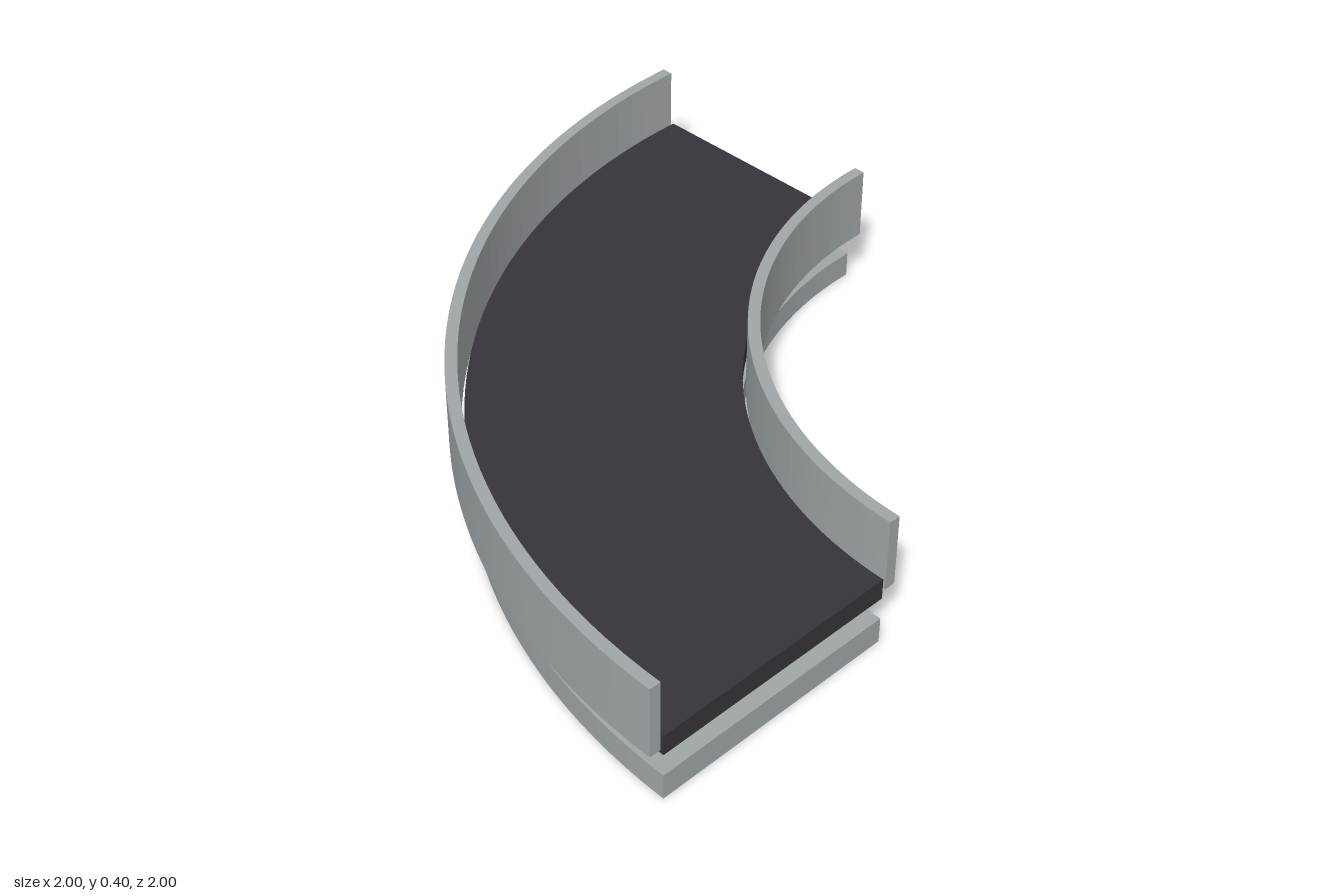
import * as THREE from 'three';

// Quarter-ring slab around the bend's pivot at x = 1, z = -1
function quarterRing(inner, outer, bottom, top) {
  const shape = new THREE.Shape();
  shape.absarc(1, -1, outer, Math.PI / 2, Math.PI, false);
  shape.absarc(1, -1, inner, Math.PI, Math.PI / 2, true);
  shape.closePath();
  const geometry = new THREE.ExtrudeGeometry(shape, {
    depth: top - bottom, bevelEnabled: false, curveSegments: 24,
  });
  geometry.rotateX(Math.PI / 2); // shape y becomes z, depth runs downward
  geometry.translate(0, top, 0);
  return geometry;
}

export function createModel() {
  const metal = new THREE.MeshStandardMaterial({ name: 'grey metal', color: 0xa0a6a9 });
  const rubber = new THREE.MeshStandardMaterial({ name: 'dark rubber', color: 0x36333a });

  // name, inner radius, outer radius, bottom, top, material
  const parts = [
    ['basePlate', 1.175, 1.955, 0, 0.08, metal],
    ['belt', 1.175, 1.955, 0.15, 0.215, rubber],
    ['innerRail', 1.13, 1.165, 0.175, 0.4, metal],
    ['outerRail', 1.965, 2, 0.175, 0.4, metal],
  ];

  const group = new THREE.Group();
  group.name = 'curvedConveyor';
  for (const [name, inner, outer, bottom, top, material] of parts) {
    const mesh = new THREE.Mesh(quarterRing(inner, outer, bottom, top), material);
    mesh.name = name;
    group.add(mesh);
  }
  return group;
}
